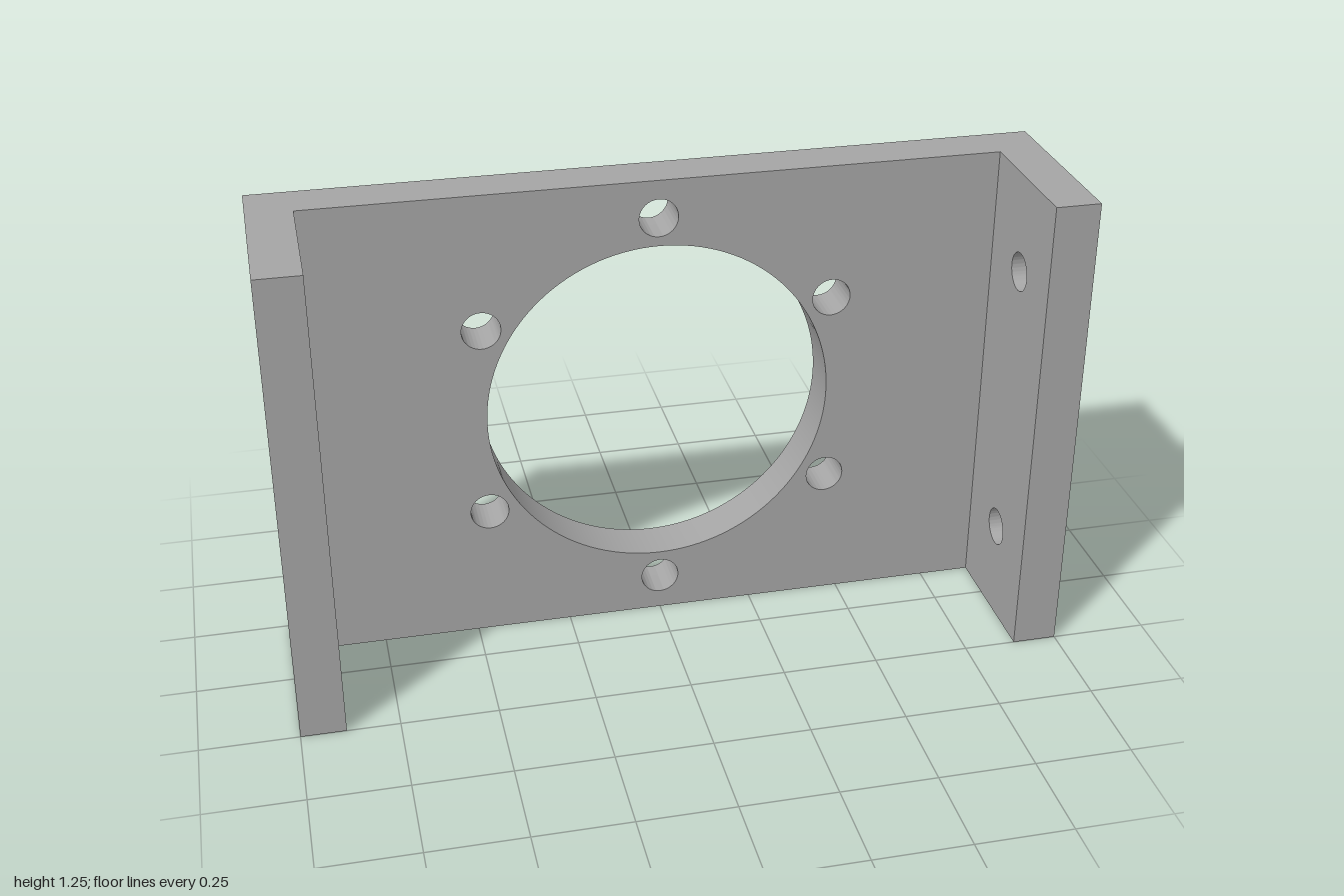
import * as THREE from 'three';
import { toCreasedNormals } from 'three/addons/utils/BufferGeometryUtils.js';

const HEIGHT = 1.25, HALF_DEPTH = 0.25;
const BACK_T = 0.125, FLANGE_T = 0.115;

// Rectangular plate with round holes given as [x, y, radius]
function drilledPlate(x0, x1, thickness, holes) {
  const shape = new THREE.Shape([
    new THREE.Vector2(x0, 0), new THREE.Vector2(x1, 0),
    new THREE.Vector2(x1, HEIGHT), new THREE.Vector2(x0, HEIGHT),
  ]);
  for (const [x, y, r] of holes) {
    shape.holes.push(new THREE.Path().absarc(x, y, r, 0, Math.PI * 2, true));
  }
  const geometry = new THREE.ExtrudeGeometry(shape, {
    depth: thickness, bevelEnabled: false, curveSegments: 64,
  });
  return toCreasedNormals(geometry, 0.6);
}

export function createModel() {
  const group = new THREE.Group();
  group.name = 'mountingBracket';
  const metal = new THREE.MeshStandardMaterial({ color: 0xa5a5a5 });
  metal.name = 'greyMetal';

  // Back plate: central bore with a ring of six bolt holes
  const holes = [[0, HEIGHT / 2, 0.45]];
  for (let i = 0; i < 6; i++) {
    const a = Math.PI / 6 + i * Math.PI / 3;
    holes.push([0.525 * Math.cos(a), HEIGHT / 2 + 0.525 * Math.sin(a), 0.05]);
  }
  const back = new THREE.Mesh(drilledPlate(-1, 1, BACK_T, holes), metal);
  back.name = 'backPlate';
  back.position.z = -HALF_DEPTH;
  group.add(back);

  // Side flanges: two mounting holes each
  const flangeGeometry = drilledPlate(-HALF_DEPTH + BACK_T, HALF_DEPTH, FLANGE_T,
    [[0.0625, 0.25, 0.05], [0.0625, 1, 0.05]]);
  flangeGeometry.rotateY(-Math.PI / 2);
  for (const [name, x] of [['leftFlange', 1], ['rightFlange', -1 + FLANGE_T]]) {
    const flange = new THREE.Mesh(flangeGeometry, metal);
    flange.name = name;
    flange.position.x = x;
    group.add(flange);
  }
  return group;
}
